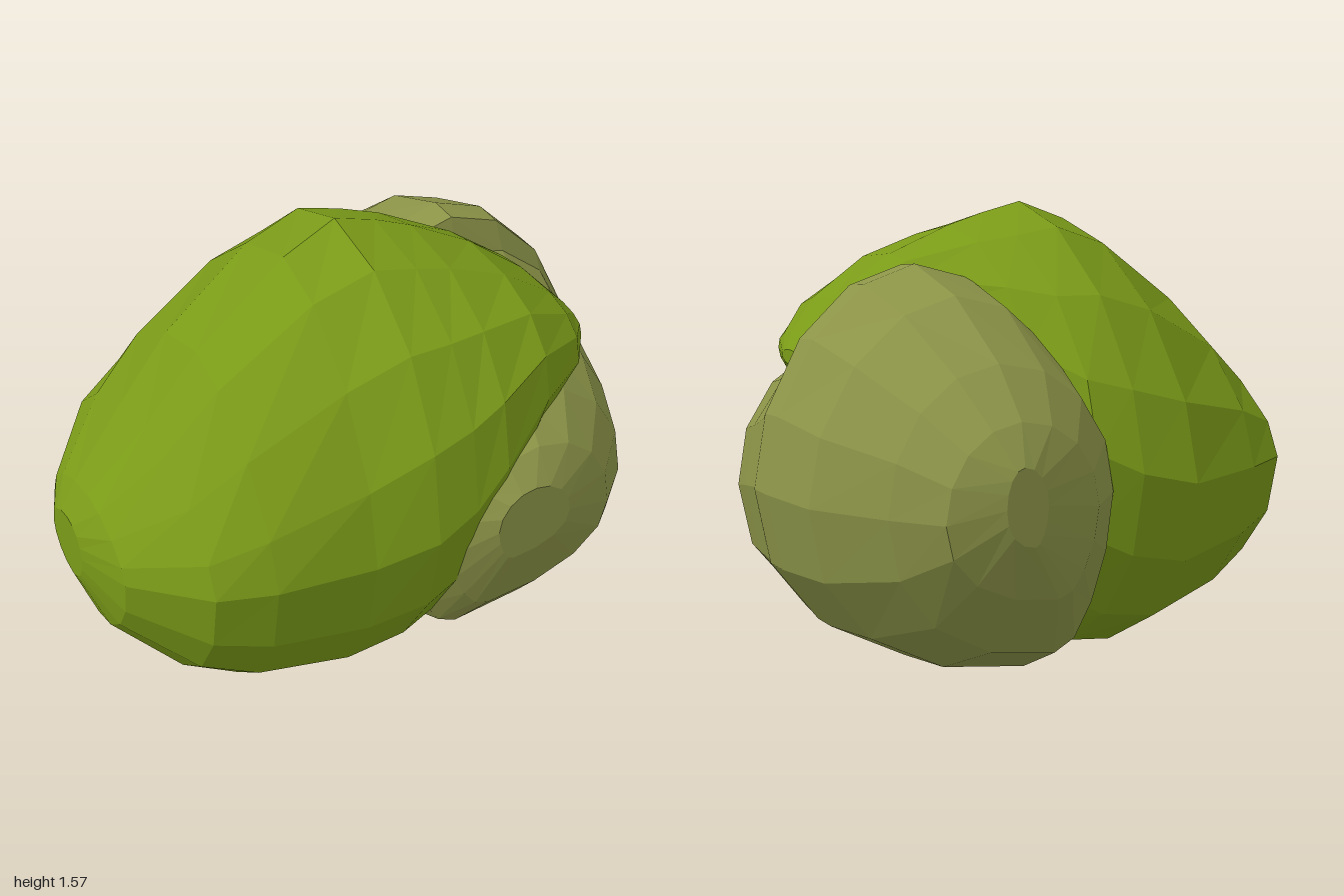
import * as THREE from 'three';

const SIDES = 16;

// Faceted blob lofted through oval rings.
// Ring: [axis position, uMin, uMid, uMax, vMin, vMid, vMax, p, q]; toPoint maps (axis, u, v) to x, y, z.
// p and q shape the quarters (+u, +v) and (+u, -v): 1 is an ellipse, above flatter, below squarer.
// lean shifts the low-v half along u.
function loft(rings, toPoint, lean) {
  const positions = [], index = [];
  for (const [a, u0, uc, u1, v0, vc, v1, p, q] of rings) {
    for (let j = 0; j < SIDES; j++) {
      const t = (j / SIDES) * Math.PI * 2;
      const power = t < Math.PI * 0.5 ? p : t > Math.PI * 1.5 ? q : 1;
      const c = Math.sign(Math.cos(t)) * Math.abs(Math.cos(t)) ** power;
      const s = Math.sign(Math.sin(t)) * Math.abs(Math.sin(t)) ** power;
      const mid = uc + lean * (u1 - u0) * Math.min(s, 0);
      const u = mid + c * (c > 0 ? u1 - mid : mid - u0);
      const v = vc + s * (s > 0 ? v1 - vc : vc - v0);
      positions.push(...toPoint(a, u, v));
    }
  }
  for (let i = 0; i < rings.length - 1; i++) {
    for (let j = 0; j < SIDES; j++) {
      const k = (j + 1) % SIDES;
      const a = i * SIDES + j, b = i * SIDES + k;
      const c = a + SIDES, d = b + SIDES;
      index.push(a, b, c, b, d, c);
    }
  }
  // End caps
  const last = (rings.length - 1) * SIDES;
  for (let j = 1; j < SIDES - 1; j++) {
    index.push(0, j + 1, j, last, last + j, last + j + 1);
  }
  const geometry = new THREE.BufferGeometry();
  geometry.setAttribute('position', new THREE.Float32BufferAttribute(positions, 3));
  geometry.setIndex(index);
  geometry.computeVertexNormals();
  return geometry;
}

function part(name, geometry, color) {
  const mesh = new THREE.Mesh(geometry, new THREE.MeshStandardMaterial({ color, flatShading: true }));
  mesh.name = name;
  return mesh;
}

export function createModel() {
  const group = new THREE.Group();
  group.name = 'boulderPair';

  // Green boulder: rings along x, roof-like on one side, with a blunt tip that overhangs the other
  const green = [
    [-1.00, 0.54, 0.66, 0.76, 0.00, 0.14, 0.24, 1, 1],
    [-0.94, 0.38, 0.68, 0.85, -0.14, 0.18, 0.45, 1.2, 1.1],
    [-0.74, 0.18, 0.70, 1.06, -0.43, 0.20, 0.67, 1.3, 1.2],
    [-0.56, 0.08, 0.70, 1.27, -0.53, 0.20, 0.73, 1.3, 1.2],
    [-0.24, 0.00, 0.70, 1.50, -0.65, 0.17, 0.77, 1.2, 1.2],
    [-0.04, 0.03, 0.75, 1.565, -0.64, 0.13, 0.81, 1.05, 1.2],
    [0.10, 0.10, 0.82, 1.53, -0.59, 0.14, 0.80, 1, 1.2],
    [0.22, 0.28, 0.93, 1.49, -0.42, 0.16, 0.78, 1, 1.1],
    [0.42, 0.78, 1.07, 1.40, -0.03, 0.20, 0.69, 0.9, 0.7],
    [0.62, 0.95, 1.08, 1.26, 0.00, 0.22, 0.57, 0.8, 0.7],
    [0.73, 1.00, 1.08, 1.15, 0.10, 0.22, 0.43, 0.8, 0.8],
    [0.78, 1.05, 1.08, 1.10, 0.15, 0.21, 0.28, 1, 1],
  ];
  group.add(part('greenBoulder', loft(green, (x, y, z) => [x, y, z], 0), 0x7a9a18));

  // Olive boulder: rings along z, its underside leaning toward the green one
  const olive = [
    [-0.82, 0.42, 0.50, 0.56, 0.62, 0.74, 0.86, 1, 1],
    [-0.75, 0.20, 0.47, 0.72, 0.43, 0.70, 0.98, 1, 1],
    [-0.60, 0.05, 0.46, 0.83, 0.21, 0.70, 1.13, 1, 1],
    [-0.35, 0.00, 0.47, 0.97, 0.09, 0.70, 1.31, 1.1, 1],
    [-0.10, -0.02, 0.48, 1.00, 0.06, 0.70, 1.39, 1.1, 1],
    [0.00, -0.02, 0.48, 1.00, 0.06, 0.70, 1.38, 1.1, 1],
    [0.03, -0.02, 0.48, 0.99, 0.06, 0.70, 1.26, 1, 1],
    [0.20, -0.02, 0.47, 0.95, 0.07, 0.67, 1.13, 0.9, 1],
    [0.40, -0.03, 0.43, 0.90, 0.08, 0.63, 1.10, 0.95, 1],
    [0.60, -0.03, 0.38, 0.81, 0.20, 0.61, 1.05, 1, 1],
    [0.75, 0.04, 0.35, 0.65, 0.38, 0.63, 0.95, 1, 1],
    [0.82, 0.17, 0.30, 0.44, 0.60, 0.72, 0.85, 1, 1],
  ];
  group.add(part('oliveBoulder', loft(olive, (z, x, y) => [x, y, z], 0.25), 0x8c9448));

  return group;
}
